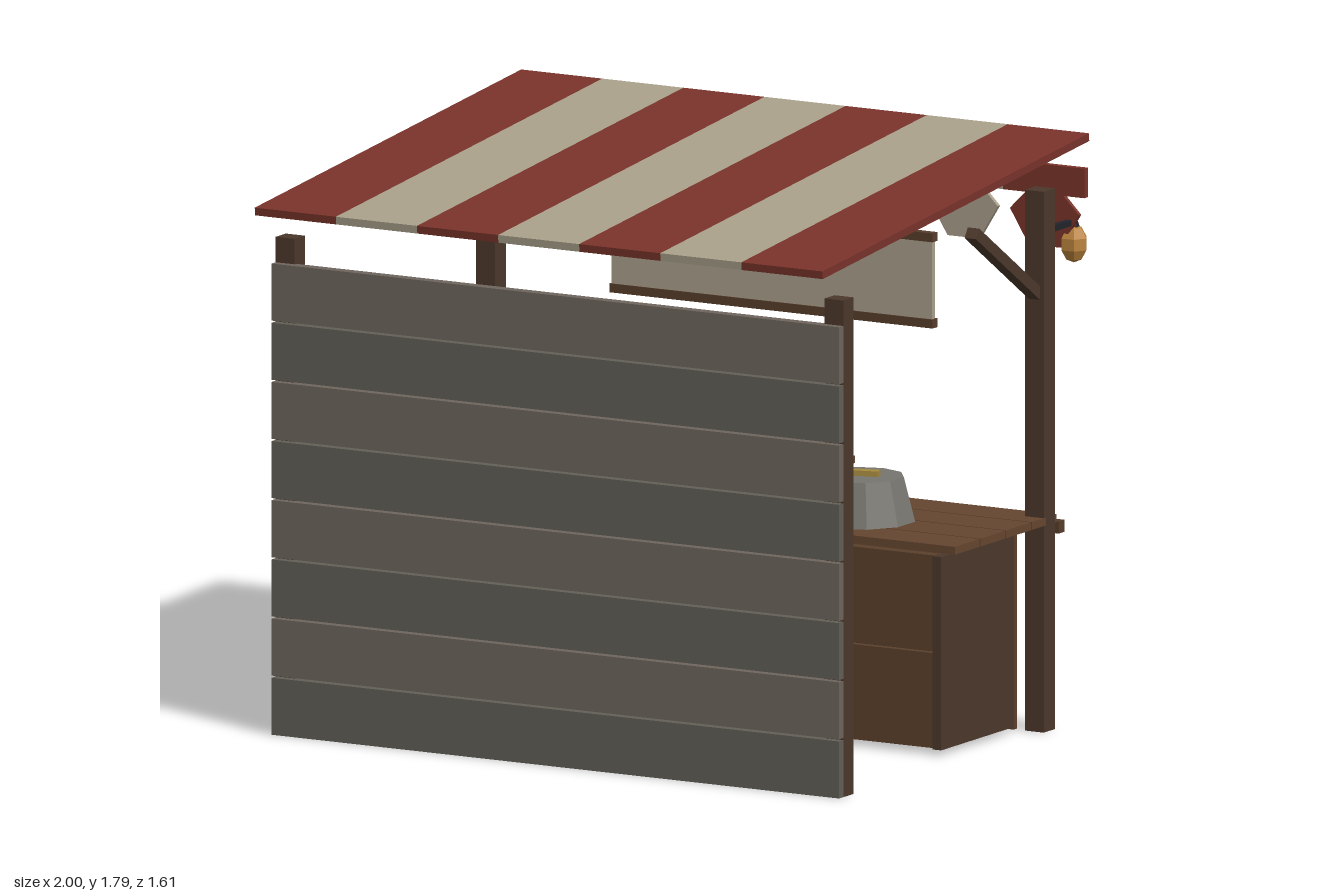
import * as THREE from 'three';

const mat = (color) => new THREE.MeshStandardMaterial({ color, flatShading: true });
const M = {
  red: mat(0x7a332a), cream: mat(0xaaa18c), post: mat(0x4c382b), trim: mat(0x573d2b),
  top: mat(0x65462f), bodyA: mat(0x5b402b), bodyB: mat(0x523826), wallA: mat(0x625f56),
  wallB: mat(0x6e655d), iron: mat(0x22242a), crate: mat(0x73633d), bulb: mat(0x9a90a4),
  leaf: mat(0x35562c), orange: mat(0xb8731f), lamp: mat(0xbb843e), pot: mat(0x77756f),
  gold: mat(0xa58a3e), teal: mat(0x4f7f7b), blue: mat(0x6f8091),
};
const CX = -0.0125; // middle of the wooden frame
const ENDS = [-0.967, 0.942]; // post positions

export function createModel() {
  const root = new THREE.Group();

  const add = (name, geo, material, x, y, z, parent = root) => {
    const m = new THREE.Mesh(geo, material);
    m.name = name;
    m.position.set(x, y, z);
    parent.add(m);
    return m;
  };
  // Box given by its limits on each axis
  const box = (name, material, [x0, x1], [y0, y1], [z0, z1], parent = root) =>
    add(name, new THREE.BoxGeometry(x1 - x0, y1 - y0, z1 - z0), material,
      (x0 + x1) / 2, (y0 + y1) / 2, (z0 + z1) / 2, parent);
  const group = (name) => {
    const g = new THREE.Group();
    g.name = name;
    root.add(g);
    return g;
  };

  // Posts and slanted braces
  ENDS.forEach((x) => {
    const span = [x - 0.033, x + 0.033];
    box('wallPost', M.post, span, [0, 1.515], [0.585, 0.645]);
    box('counterPost', M.post, span, [0, 1.65], [-0.6, -0.535]);
    const brace = add('brace', new THREE.BoxGeometry(0.04, 0.035, 0.46), M.post, x, 1.455, -0.36);
    brace.rotation.x = -Math.atan2(0.25, 0.38);
  });

  // Plank wall
  const wall = group('wall');
  for (let i = 0; i < 8; i++) {
    box('wallPlank', i % 2 ? M.wallB : M.wallA, [-1, 0.975],
      [i * 0.1805, i * 0.1805 + 0.174], [0.635, 0.67], wall);
  }

  // Wall shelf with cups
  box('wallShelf', M.top, [-0.92, 0.895], [0.978, 1.0], [0.44, 0.588]);
  [M.bulb, M.teal, M.cream, M.bulb, M.blue].forEach((m, i) =>
    add('cup', new THREE.CylinderGeometry(0.043, 0.04, 0.11, 8), m, -0.675 + i * 0.33, 1.055, 0.54));

  // Striped roof and scalloped valance
  const roof = group('roof');
  roof.position.set(0.0125, 1.702, 0.025);
  roof.rotation.x = Math.atan2(0.16, 1.57);
  const valance = group('valance');
  const flag = new THREE.Shape([[-0.06, 1.605], [-0.12, 1.545], [-0.055, 1.44],
    [0.055, 1.44], [0.12, 1.545], [0.06, 1.605]].map(([x, y]) => new THREE.Vector2(x, y)));
  const flagGeo = new THREE.ExtrudeGeometry(flag, { depth: 0.014, bevelEnabled: false });
  const stripe = 1.975 / 7;
  for (let i = 0; i < 7; i++) {
    const m = i % 2 ? M.cream : M.red;
    const x = (i - 3) * stripe;
    add('roofStripe', new THREE.BoxGeometry(stripe, 0.024, 1.577), m, x, 0, 0, roof);
    add('valanceBand', new THREE.BoxGeometry(stripe, 0.09, 0.022), m, x + 0.0125, 1.645, -0.742, valance);
    add('valanceFlag', flagGeo, m, x + 0.0125, 0, -0.749, valance);
  }

  // Counter cabinet: core, side panels, plank facing
  const counter = group('counter');
  box('cabinetCore', M.bodyB, [-0.96, 0.88], [0.02, 0.605], [-0.486, -0.09], counter);
  [[-0.98, -0.95], [0.87, 0.9]].forEach((x) =>
    box('cabinetSide', M.post, x, [0.018, 0.608], [-0.488, -0.058], counter));
  [[0.02, 0.31], [0.316, 0.608]].forEach((y) =>
    box('cabinetBoard', M.bodyA, [-0.95, 0.87], y, [-0.1, -0.068], counter));
  const w = 1.88 / 8;
  for (let i = 0; i < 8; i++) {
    box('facingPlank', i % 2 ? M.bodyA : M.bodyB, [-0.98 + i * w, -0.98 + (i + 1) * w],
      [0.01, 0.61], [-0.505, -0.486], counter);
  }
  // Counter top planks and edge rail
  for (let i = 0; i < 4; i++) {
    const z = -0.012 - i * 0.151;
    box('counterTopPlank', M.top, [-1, 0.975], [0.63, 0.654], [z - 0.145, z], counter);
  }
  box('counterBatten', M.post, [-0.96, 0.88], [0.605, 0.631], [-0.36, -0.18], counter);
  box('counterRail', M.trim, [-1, 0.982], [0.595, 0.632], [-0.645, -0.612], counter);

  // Upturned tub with a handle
  add('tub', new THREE.CylinderGeometry(0.13, 0.165, 0.135, 10), M.pot, 0.515, 0.722, -0.24);
  const handle = box('tubHandle', M.gold, [0.46, 0.57], [0.788, 0.806], [-0.255, -0.225]);
  handle.rotation.y = 0.25;

  // Pumpkin
  const pumpkinGeo = new THREE.SphereGeometry(0.09, 10, 6);
  pumpkinGeo.scale(1, 0.72, 1);
  add('pumpkin', pumpkinGeo, M.orange, -0.015, 0.718, -0.28);
  add('pumpkinStem', new THREE.CylinderGeometry(0.01, 0.016, 0.04, 5), M.gold, -0.015, 0.795, -0.28);

  // Crate of bulbs
  box('crate', M.crate, [-0.77, -0.305], [0.654, 0.85], [-0.385, -0.09]);
  box('crateRail', M.trim, [-0.79, -0.285], [0.84, 0.868], [-0.398, -0.372]);
  const bulb = (x, y, z, r) => {
    const g = group('bulb');
    g.position.set(x, y, z);
    const geo = new THREE.SphereGeometry(r, 8, 5);
    add('bulbBody', geo, M.bulb, 0, 0, 0, g);
    add('bulbNeck', new THREE.ConeGeometry(r * 0.45, r * 0.6, 6), M.bulb, 0, r, 0, g);
    add('bulbStem', new THREE.ConeGeometry(r * 0.3, r * 0.8, 5), M.leaf, 0, r * 1.3, 0, g);
    return g;
  };
  for (const x of [-0.66, -0.545, -0.43]) {
    for (const z of [-0.185, -0.29]) bulb(x, 0.908, z, 0.063);
  }

  // Hanging sign with trims, painted strips and a bulb relief
  box('signBoard', M.cream, [-0.57, 0.545], [1.19, 1.455], [-0.622, -0.604]);
  [1.443, 1.18].forEach((y) =>
    box('signTrim', M.trim, [-0.575, 0.55], [y, y + 0.027], [-0.628, -0.6]));
  box('signStrip', M.iron, [0.03, 0.41], [1.338, 1.37], [-0.63, -0.62]);
  box('signStrip', M.iron, [0.075, 0.36], [1.265, 1.297], [-0.63, -0.62]);
  bulb(-0.235, 1.315, -0.625, 0.075).scale.z = 0.28;
  [-0.475, 0.445].forEach((x) =>
    box('signHanger', M.iron, [x - 0.006, x + 0.006], [1.46, 1.65], [-0.612, -0.6]));

  // Lantern on an iron arm
  box('lanternArm', M.iron, [0.934, 0.954], [1.51, 1.528], [-0.765, -0.595]);
  const lanternGeo = new THREE.SphereGeometry(0.045, 6, 5);
  lanternGeo.scale(1, 1.3, 1);
  add('lantern', lanternGeo, M.lamp, 0.944, 1.452, -0.765);
  add('lanternCap', new THREE.CylinderGeometry(0.012, 0.018, 0.02, 6), M.iron, 0.944, 1.51, -0.765);

  return root;
}
